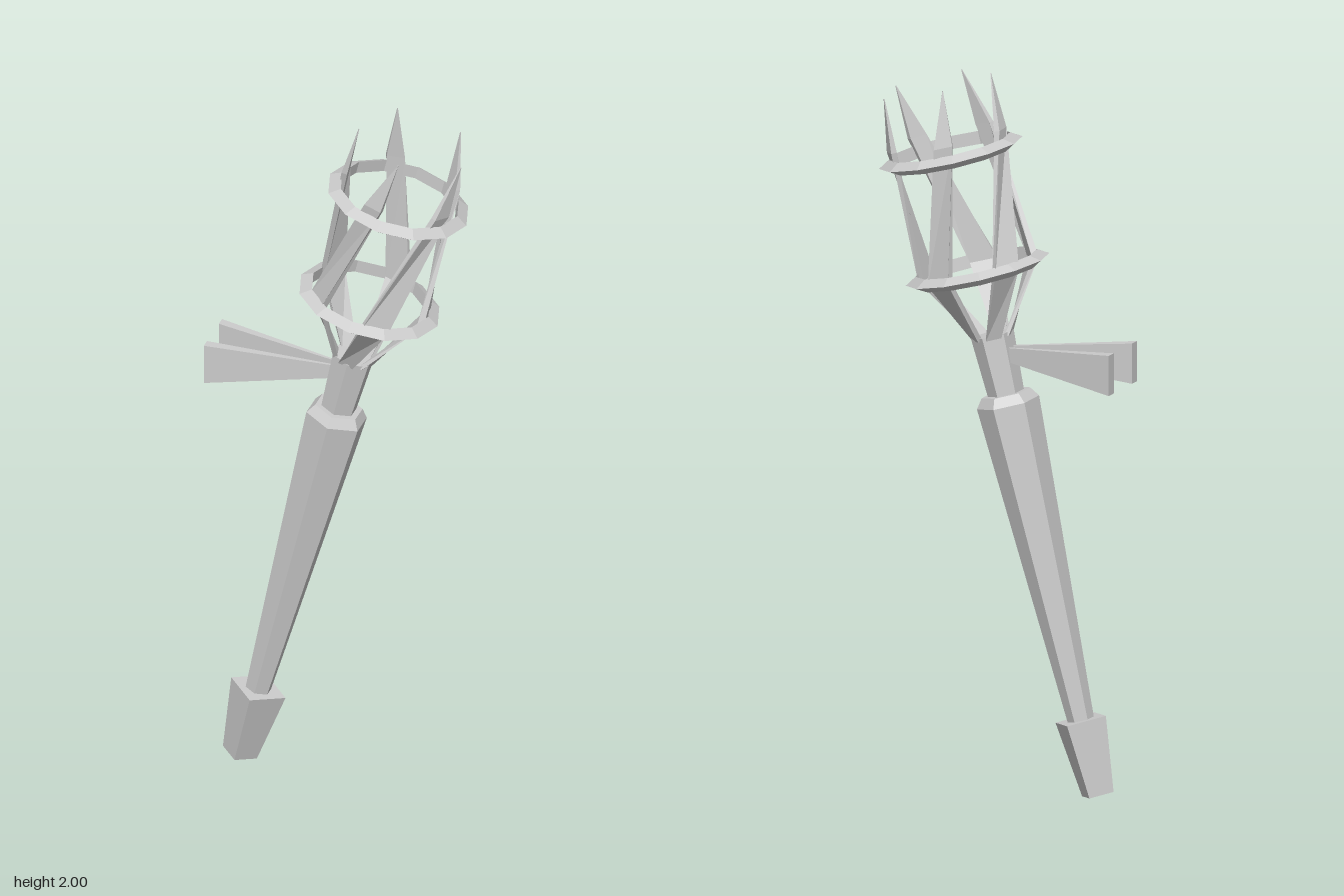
import * as THREE from 'three';

const material = new THREE.MeshStandardMaterial({ color: 0xcccccc, flatShading: true });

function addMesh(parent, name, geometry) {
  const mesh = new THREE.Mesh(geometry, material);
  mesh.name = name;
  parent.add(mesh);
  return mesh;
}

// Skin a row of four-cornered cross-sections, with both ends closed
function loft(sections) {
  const points = [];
  const quad = (a, b, c, d) => points.push(a, b, c, a, c, d);
  for (let s = 0; s < sections.length - 1; s++) {
    const lower = sections[s], upper = sections[s + 1];
    for (let i = 0; i < 4; i++) {
      const j = (i + 1) % 4;
      quad(lower[i], lower[j], upper[j], upper[i]);
    }
  }
  const first = sections[0], last = sections[sections.length - 1];
  quad(first[3], first[2], first[1], first[0]);
  quad(last[0], last[1], last[2], last[3]);
  const geometry = new THREE.BufferGeometry().setFromPoints(points);
  geometry.computeVertexNormals();
  return geometry;
}

// Faceted shaft section between two heights
function addShaft(parent, name, y0, r0, y1, r1, sides) {
  const geometry = new THREE.CylinderGeometry(r1, r0, y1 - y0, sides);
  addMesh(parent, name, geometry).position.y = (y0 + y1) / 2;
}

// Blade cross-section: twist in degrees, radius, height, half width, half thickness
function bladeSection(twist, radius, y, halfWidth, halfThick) {
  const a = THREE.MathUtils.degToRad(twist);
  const c = Math.cos(a), s = Math.sin(a);
  return [[1, 1], [1, -1], [-1, -1], [-1, 1]].map(([i, j]) => {
    const r = radius + i * halfThick, t = j * halfWidth;
    return new THREE.Vector3(c * r - s * t, y, s * r + c * t);
  });
}

// Wall bracket cross-section at x
function bracketSection(x, yLow, yHigh, zLow, zHigh) {
  return [[zHigh, yHigh], [zLow, yHigh], [zLow, yLow], [zHigh, yLow]]
    .map(([z, y]) => new THREE.Vector3(x, y, z));
}

export function createModel() {
  const model = new THREE.Group();
  model.name = 'wallTorch';

  // Everything on the leaning axis
  const torch = new THREE.Group();
  torch.name = 'torch';
  torch.position.set(-0.288, 0.0125, 0);
  torch.rotation.z = THREE.MathUtils.degToRad(-14.4);
  model.add(torch);

  addShaft(torch, 'pommel', 0, 0.05, 0.212, 0.08, 4);
  addShaft(torch, 'handle', 0.2, 0.036, 1.11, 0.087, 6);
  addShaft(torch, 'collarBevel', 1.11, 0.087, 1.137, 0.068, 6);
  addShaft(torch, 'neck', 1.13, 0.05, 1.305, 0.06, 6);

  // Basket hoops with a triangular section
  for (const [name, y] of [['lowerRing', 1.487], ['upperRing', 1.818]]) {
    const ring = addMesh(torch, name, new THREE.TorusGeometry(0.18, 0.021, 3, 12));
    ring.rotation.x = Math.PI / 2;
    ring.position.y = y;
  }

  // Five twisted, pointed basket blades
  const blade = loft([
    bladeSection(78, 0.045, 1.295, 0.022, 0.007),
    bladeSection(50, 0.157, 1.485, 0.038, 0.009),
    bladeSection(12, 0.16, 1.86, 0.026, 0.008),
    bladeSection(0, 0.158, 2.013, 0.001, 0.001),
  ]);
  for (let i = 0; i < 5; i++) {
    addMesh(torch, 'basketBlade', blade).rotation.y = -THREE.MathUtils.degToRad(18 + 72 * i);
  }

  // Two flaring brackets reaching back to the wall
  for (const side of [1, -1]) {
    const z = side > 0 ? [0.008, 0.014, 0.054, 0.084] : [-0.014, -0.008, -0.084, -0.054];
    addMesh(model, side > 0 ? 'frontBracket' : 'backBracket', loft([
      bracketSection(0, 1.21, 1.245, z[0], z[1]),
      bracketSection(-0.365, 1.173, 1.287, z[2], z[3]),
    ]));
  }
  return model;
}
